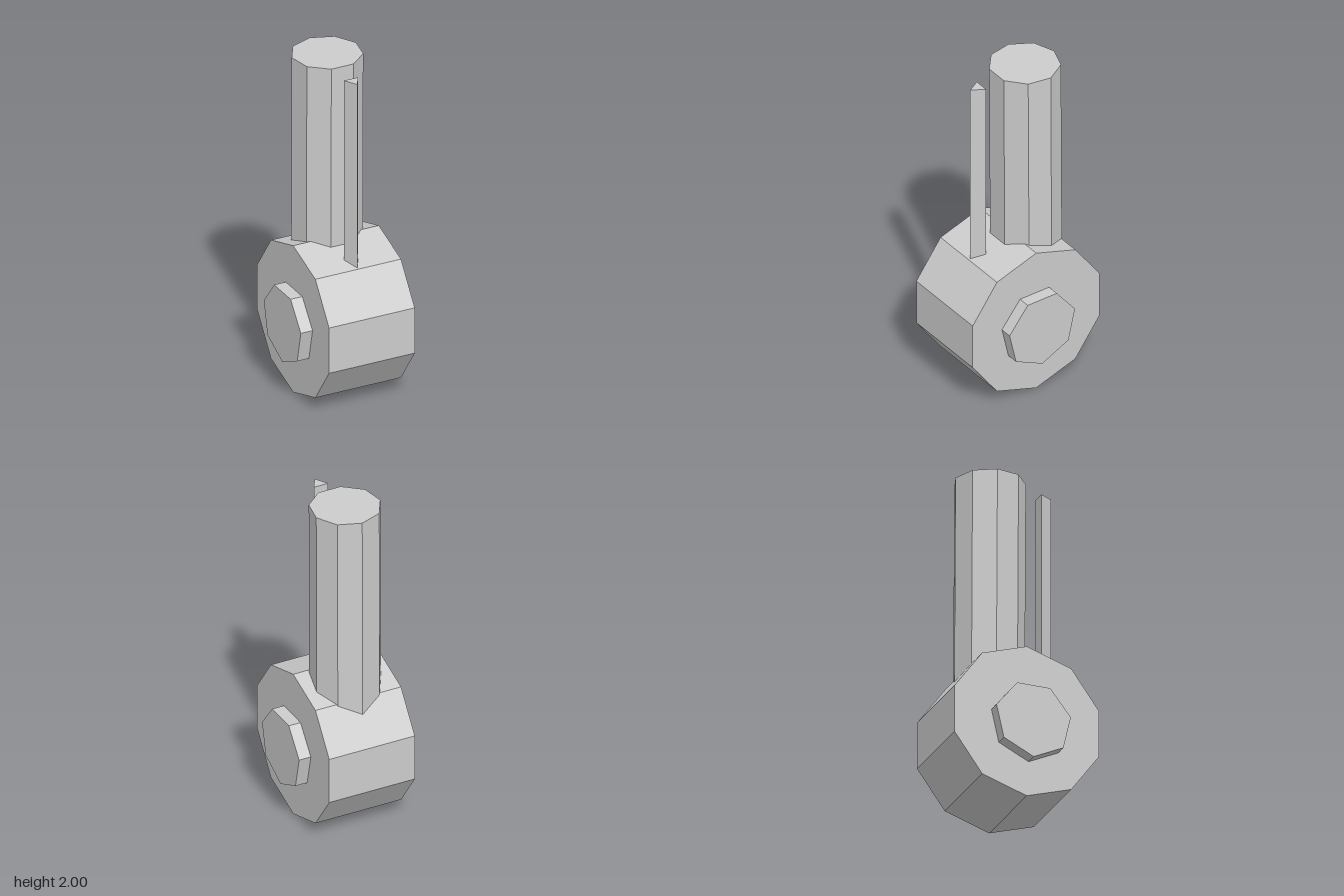
import * as THREE from 'three';

const material = new THREE.MeshStandardMaterial({ color: 0xcccccc, flatShading: true });

// Faceted prism; start is the angle of its first corner, measured from +z towards +x
function prism(name, radius, length, sides, start) {
  const geometry = new THREE.CylinderGeometry(radius, radius, length, sides, 1, false, start);
  const mesh = new THREE.Mesh(geometry, material);
  mesh.name = name;
  return mesh;
}

export function createModel() {
  const model = new THREE.Group();
  model.name = 'drumWithPost';

  // Ten-sided drum lying across x, a corner at the top
  const drum = prism('drum', 0.456, 0.534, 10, Math.PI / 2);
  drum.geometry.rotateZ(Math.PI / 2);
  drum.position.y = 0.456;

  // Seven-sided axle, a corner at the bottom, standing out of both drum faces
  const axle = prism('axle', 0.229, 0.68, 7, -Math.PI / 2);
  axle.geometry.rotateZ(Math.PI / 2);
  axle.position.set(0, 0.439, 0.011);

  // Nine-sided post with a very slight forward lean, sunk into the drum
  const postBottom = 0.6, postTop = 2;
  const post = prism('post', 0.203, postTop - postBottom, 9, Math.PI);
  const shear = new THREE.Matrix4().set(1, 0, 0, 0, 0, 1, 0, 0, 0, 0.005, 1, 0, 0, 0, 0, 1);
  post.geometry.applyMatrix4(shear);
  post.position.set(0, (postBottom + postTop) / 2, -0.116);

  // Thin three-sided rod in front of the post
  const rodBottom = 0.7, rodTop = 1.97;
  const rod = prism('rod', 0.051, rodTop - rodBottom, 3, 0);
  rod.position.set(0, (rodBottom + rodTop) / 2, 0.207);

  model.add(drum, axle, post, rod);
  return model;
}
